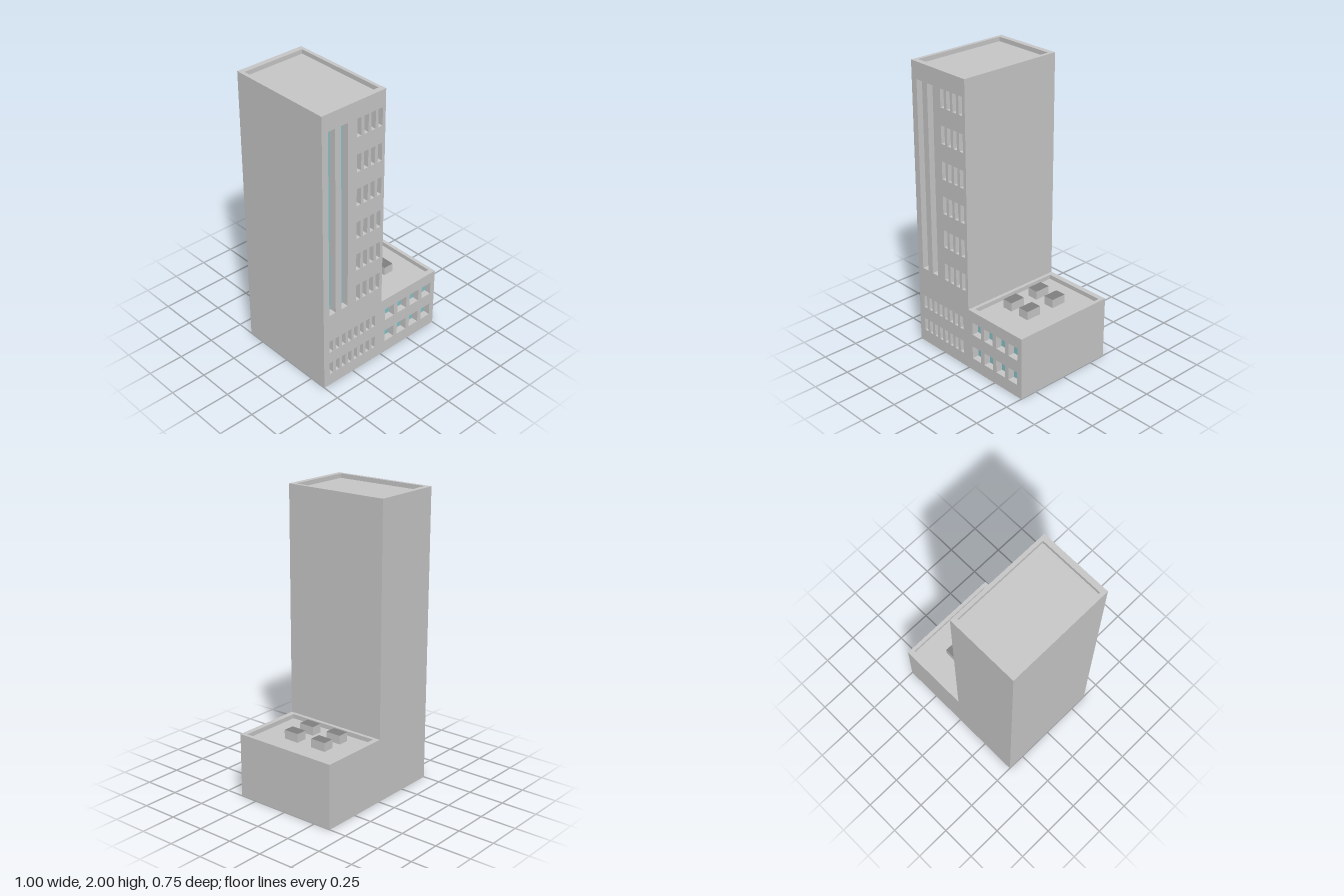
import * as THREE from 'three';

const concrete = new THREE.MeshStandardMaterial({ name: 'concrete', color: 0xc8c8c8 });
const glass = new THREE.MeshStandardMaterial({ name: 'tealGlass', color: 0x86c4cb });
const darkMetal = new THREE.MeshStandardMaterial({ name: 'darkVentTop', color: 0x808080 });

const HALF_DEPTH = 0.375, TOWER = 2, PODIUM = 0.44;
const RECESS = 0.05;   // how far the glass sits behind the facade
const PARAPET = 0.03;  // height of the roof rims

// Closed outline of a rectangle, used for holes and frames
function rectPoints(x0, y0, x1, y1) {
  return [[x0, y0], [x1, y0], [x1, y1], [x0, y1]].map(([x, y]) => new THREE.Vector2(x, y));
}

// L-shaped outline of the building up to the roof decks
function buildingShape() {
  const t = TOWER - PARAPET, p = PODIUM - PARAPET;
  return new THREE.Shape([[-0.5, 0], [0.5, 0], [0.5, p], [0, p], [0, t], [-0.5, t]]
    .map(([x, y]) => new THREE.Vector2(x, y)));
}

function extrude(shape, depth) {
  return new THREE.ExtrudeGeometry(shape, { depth, bevelEnabled: false });
}

// All window openings as [x, y, width, height]
function windowList() {
  const list = [];
  const grid = (x, y, w, h, cols, rows, dx, dy) => {
    for (let r = 0; r < rows; r++) {
      for (let c = 0; c < cols; c++) list.push([x + c * dx, y + r * dy, w, h]);
    }
  };
  grid(-0.453, 0.566, 0.054, 1.319, 2, 1, 0.101, 0);        // tall strips
  grid(-0.227, 0.566, 0.034, 0.122, 4, 6, 0.0565, 0.2393);  // tower rows
  grid(-0.453, 0.089, 0.03, 0.091, 8, 2, 0.0528, 0.179);    // tower base
  grid(0.037, 0.089, 0.082, 0.091, 4, 2, 0.1143, 0.179);    // podium
  return list;
}

export function createModel() {
  const model = new THREE.Group();
  model.name = 'officeBuilding';
  const add = (name, geometry, material, parent = model) => {
    const mesh = new THREE.Mesh(geometry, material);
    mesh.name = name;
    parent.add(mesh);
    return mesh;
  };

  // Solid mass behind the facade
  add('buildingBody', extrude(buildingShape(), 2 * HALF_DEPTH - RECESS), concrete)
    .position.z = -HALF_DEPTH;

  // Facade layer with window openings, and a pane in each
  const facade = buildingShape();
  const windows = new THREE.Group();
  windows.name = 'windows';
  model.add(windows);
  for (const [x, y, w, h] of windowList()) {
    facade.holes.push(new THREE.Path(rectPoints(x, y, x + w, y + h).reverse()));
    add('windowPane', new THREE.PlaneGeometry(w, h), glass, windows)
      .position.set(x + w / 2, y + h / 2, HALF_DEPTH - RECESS + 0.002);
  }
  add('frontFacade', extrude(facade, RECESS), concrete).position.z = HALF_DEPTH - RECESS;

  // Raised rims around both roofs
  for (const [name, x, top] of [['towerParapet', -0.25, TOWER], ['podiumParapet', 0.25, PODIUM]]) {
    const rim = new THREE.Shape(rectPoints(-0.25, -HALF_DEPTH, 0.25, HALF_DEPTH));
    rim.holes.push(new THREE.Path(rectPoints(-0.225, -0.338, 0.225, 0.338).reverse()));
    add(name, extrude(rim, PARAPET).rotateX(-Math.PI / 2), concrete)
      .position.set(x, top - PARAPET, 0);
  }

  // Roof vents on the podium, with dark tops
  const ventMaterials = [concrete, concrete, darkMetal, concrete, concrete, concrete];
  for (const x of [0.131, 0.281]) {
    for (const z of [-0.127, 0.098]) {
      add('roofVent', new THREE.BoxGeometry(0.076, 0.06, 0.111), ventMaterials)
        .position.set(x, PODIUM, z);
    }
  }
  return model;
}
